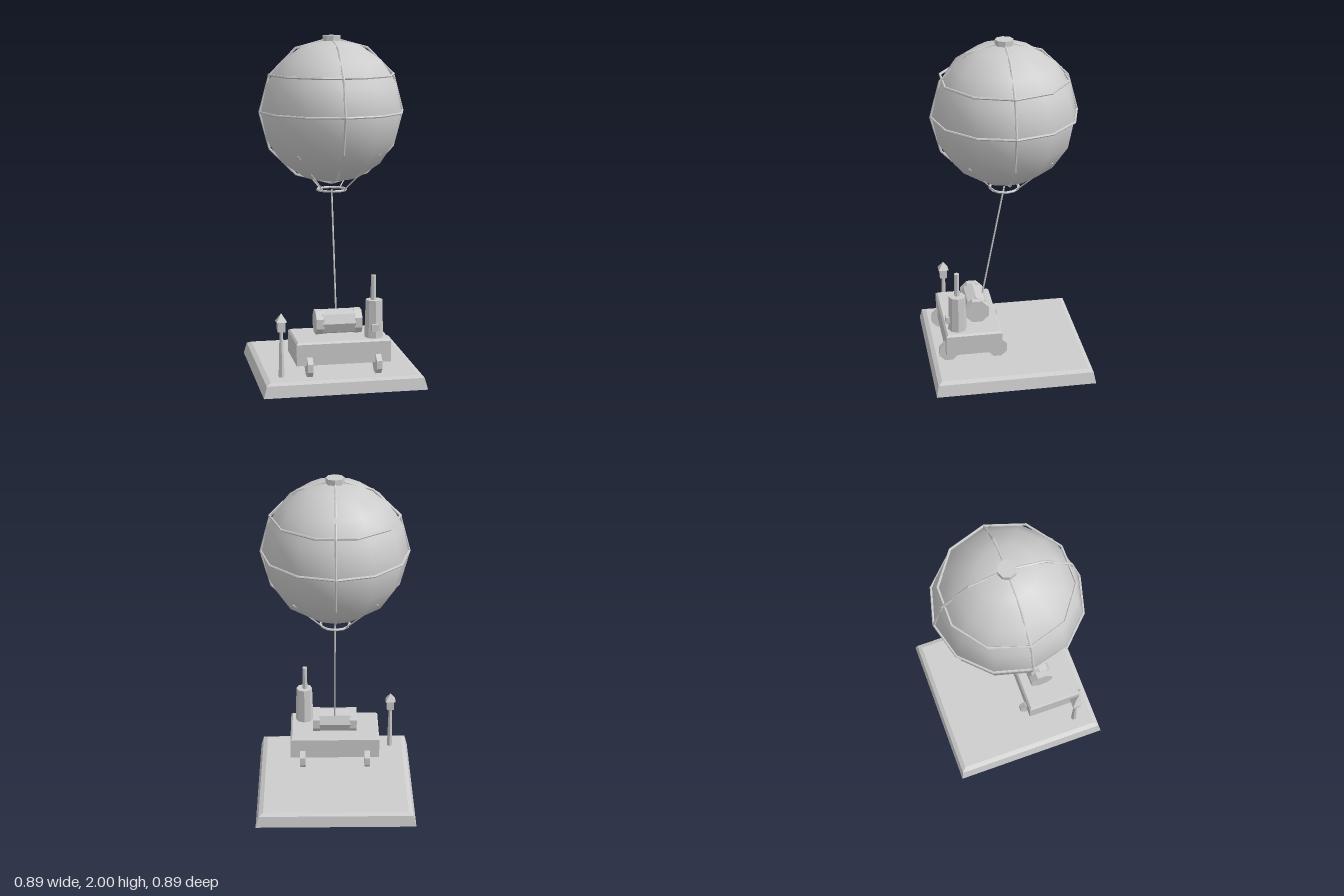
import * as THREE from 'three';

export function createModel() {
  const model = new THREE.Group();
  const flat = new THREE.MeshStandardMaterial({ color: 0xcccccc, flatShading: true });
  flat.name = 'light grey';
  const smooth = new THREE.MeshStandardMaterial({ color: 0xcccccc });
  smooth.name = 'light grey smooth';

  const add = (name, geo, x = 0, y = 0, z = 0, mat = flat) => {
    const mesh = new THREE.Mesh(geo, mat);
    mesh.name = name;
    mesh.position.set(x, y, z);
    model.add(mesh);
    return mesh;
  };
  const box = (w, h, d) => new THREE.BoxGeometry(w, h, d);
  const cyl = (top, bottom, h, sides = 8) => new THREE.CylinderGeometry(top, bottom, h, sides);

  // Straight cord between two points
  const cord = (name, a, b, r) => {
    const dir = b.clone().sub(a);
    const mid = a.clone().add(b).multiplyScalar(0.5);
    const mesh = add(name, cyl(r, r, dir.length(), 6), mid.x, mid.y, mid.z);
    mesh.quaternion.setFromUnitVectors(new THREE.Vector3(0, 1, 0), dir.normalize());
  };

  // Block tapering from a bottom rectangle to a top rectangle
  const taperedBox = (w, h, d, topW, topD) => {
    const geo = box(w, h, d);
    const p = geo.attributes.position;
    for (let i = 0; i < p.count; i++) {
      if (p.getY(i) > 0) {
        p.setX(i, p.getX(i) * topW / w);
        p.setZ(i, p.getZ(i) * topD / d);
      }
    }
    geo.computeVertexNormals();
    return geo;
  };

  // Base slab with a bevelled edge
  add('baseSlab', taperedBox(0.89, 0.063, 0.89, 0.856, 0.866), 0, 0.1565, 0);
  add('baseBevel', taperedBox(0.856, 0.012, 0.866, 0.806, 0.82), 0, 0.194, 0);

  // Bucket under the base, with its neck and lever
  add('bucket', cyl(0.078, 0.066, 0.1, 10), 0, 0.05, 0);
  add('bucketRim', cyl(0.083, 0.083, 0.01, 10), 0, 0.1, 0);
  add('bucketNeck', cyl(0.03, 0.03, 0.03), 0, 0.115, 0);
  add('lever', box(0.022, 0.009, 0.17), 0, 0.118, -0.055);

  // Cart body and wheels
  add('cartBody', box(0.514, 0.115, 0.312), 0, 0.3275, 0.209);
  add('cartTop', taperedBox(0.514, 0.01, 0.312, 0.494, 0.292), 0, 0.39, 0.209);
  for (const x of [-0.187, 0.187]) {
    for (const z of [0.345, 0.07]) {
      const wheel = add('wheel', cyl(0.058, 0.058, 0.03), x, 0.262, z);
      wheel.rotation.set(Math.PI / 8, 0, Math.PI / 2);
    }
  }

  // Winch drum lying across the cart
  add('winchDrum', cyl(0.07, 0.07, 0.18), 0, 0.458, 0.173).rotation.z = Math.PI / 2;
  for (const x of [-0.106, 0.106]) {
    add('winchEnd', cyl(0.07, 0.07, 0.042), x, 0.458, 0.173)
      .rotation.set(Math.PI / 8, 0, Math.PI / 2);
  }

  // Boiler, chimney and firebox
  add('boiler', cyl(0.046, 0.052, 0.21), 0.177, 0.495, 0.293);
  add('chimney', cyl(0.014, 0.014, 0.14), 0.173, 0.665, 0.293);
  add('firebox', box(0.04, 0.038, 0.035), 0.173, 0.456, 0.341);

  // Lamp post
  add('lampPost', cyl(0.01, 0.017, 0.26, 6), -0.331, 0.325, 0.309);
  add('lampHead', box(0.042, 0.055, 0.042), -0.331, 0.4785, 0.309);
  add('lampRoof', new THREE.ConeGeometry(0.041, 0.046, 4), -0.331, 0.528, 0.309)
    .rotation.y = Math.PI / 4;

  // Balloon with its cap and net hoops
  const cy = 1.59;
  add('balloon', new THREE.SphereGeometry(0.39, 12, 8), 0, cy, 0, smooth);
  add('balloonCap', cyl(0.05, 0.05, 0.04), 0, 1.98, 0);
  const hoop = (r, sides) => new THREE.TorusGeometry(r, 0.007, 6, sides);
  add('hoopAcross', hoop(0.395, 12), 0, cy, 0);
  add('hoopLengthwise', hoop(0.395, 12), 0, cy, 0).rotation.y = Math.PI / 2;
  add('hoopEquator', hoop(0.395, 12), 0, cy, 0).rotation.x = Math.PI / 2;
  add('hoopUpper', hoop(0.345, 10), 0, cy + 0.2, 0).rotation.x = Math.PI / 2;

  // Load ring, its cords, and the tether to the winch
  add('loadRing', new THREE.TorusGeometry(0.08, 0.007, 6, 12), 0, 1.159, 0).rotation.x = Math.PI / 2;
  for (const sx of [-1, 1]) {
    for (const sz of [-1, 1]) {
      cord('ringCord', new THREE.Vector3(sx * 0.057, 1.16, sz * 0.057),
        new THREE.Vector3(sx * 0.222, 1.375, sz * 0.222), 0.004);
    }
  }
  cord('tether', new THREE.Vector3(0, 1.16, 0), new THREE.Vector3(0, 0.5, 0.127), 0.005);

  return model;
}
